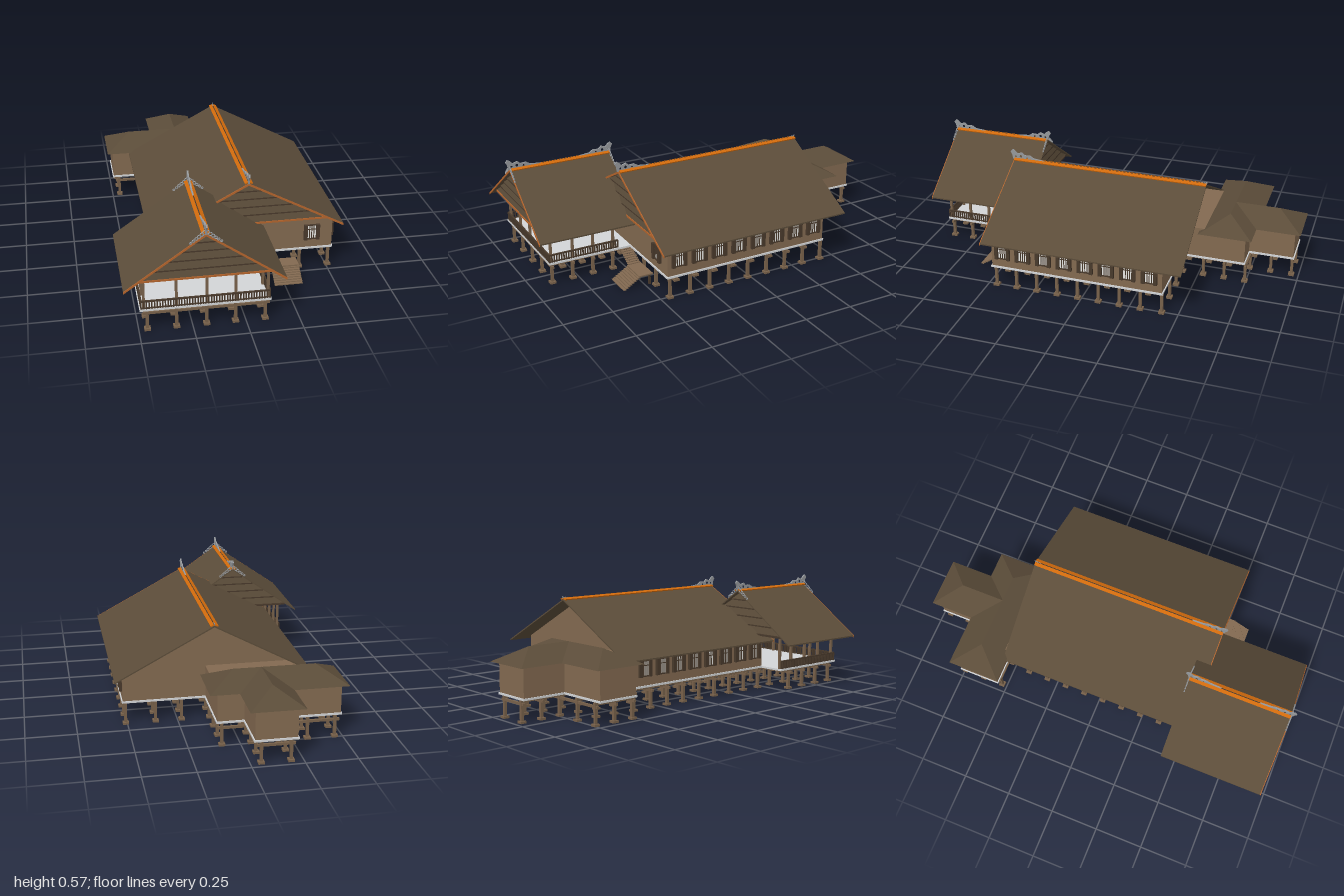
import * as THREE from 'three';

const mat = (name, color, double) => {
  const m = new THREE.MeshStandardMaterial({ color, flatShading: true });
  m.name = name;
  if (double) m.side = THREE.DoubleSide;
  return m;
};

export function createModel() {
  const M = {
    roof: mat('thatch brown', 0x5b4c39, true),
    wall: mat('wall timber', 0x826950),
    pile: mat('post timber', 0x78614a),
    dark: mat('dark timber', 0x48392b),
    floor: mat('pale floor', 0xd2d4d6),
    ridge: mat('orange ridge', 0xd06a0c),
    trim: mat('orange trim', 0xb4642c),
    carving: mat('carved grey', 0x95989b),
    pane: mat('window white', 0xe6e6e2),
  };
  const root = new THREE.Group();
  root.name = 'stiltHouse';
  const group = (name, parent = root) => {
    const g = new THREE.Group();
    g.name = name;
    parent.add(g);
    return g;
  };
  const add = (parent, name, geo, m) => {
    const mesh = new THREE.Mesh(geo, m);
    mesh.name = name;
    parent.add(mesh);
    return mesh;
  };
  // Box given by its limits on each axis
  const box = (parent, name, m, x0, x1, y0, y1, z0, z1) => {
    const g = new THREE.BoxGeometry(x1 - x0, y1 - y0, z1 - z0);
    g.translate((x0 + x1) / 2, (y0 + y1) / 2, (z0 + z1) / 2);
    return add(parent, name, g, m);
  };
  // Polygon in the xy plane, extruded from z0 to z1
  const prism = (parent, name, m, pts, z0, z1) => {
    const s = new THREE.Shape(pts.map(p => new THREE.Vector2(...p)));
    const g = new THREE.ExtrudeGeometry(s, { depth: z1 - z0, bevelEnabled: false });
    g.translate(0, 0, z0);
    return add(parent, name, g, m);
  };

  const EAVE = 0.26, RIDGE = 0.517, BASE = 0.285;

  // Floors
  const floors = group('floors');
  [[-0.495, 0.115, 0.465, 0.91], [-0.355, 0.525, -0.425, 0.475], [-0.355, 0.115, -0.53, -0.42],
    [-0.495, 0.115, -0.745, -0.525], [-0.225, -0.015, -0.975, -0.74]]
    .forEach(([a, b, c, d]) => box(floors, 'floorSlab', M.floor, a, b, 0.11, 0.12, c, d));

  // Stilts on footings, with tie beams below the long western strip
  const stilts = group('stilts');
  const rowZ = k => 0.89 - 0.109 * k;
  const strip = [-0.46, -0.325, -0.185, -0.05, 0.09];
  for (let k = 0; k < 18; k++) {
    const main = k >= 4 && k <= 12, z = rowZ(k);
    const xs = main ? [-0.338, -0.185, -0.05, 0.09, 0.23, 0.36, 0.508] : k > 15 ? [-0.19, -0.05] : strip;
    for (const x of xs) {
      box(stilts, 'stilt', M.pile, x - 0.007, x + 0.007, 0.01, 0.11, z - 0.007, z + 0.007);
      box(stilts, 'footing', M.pile, x - 0.015, x + 0.015, 0, 0.011, z - 0.015, z + 0.015);
    }
    const left = xs[0] - 0.02, right = k > 15 ? -0.03 : 0.11;
    box(stilts, 'crossBeam', M.pile, left, right, 0.084, 0.096, z - 0.006, z + 0.006);
  }
  strip.forEach((x, i) => {
    const ends = i === 0 ? [[0.47, 0.9], [-0.745, -0.53]] : i === 2 || i === 3 ? [[-0.97, 0.9]] : [[-0.745, 0.9]];
    ends.forEach(([a, b]) => box(stilts, 'longBeam', M.pile, x - 0.006, x + 0.006, 0.096, 0.11, a, b));
  });

  // Gabled roof: slab, orange front rake boards and ridge cap
  const chevron = (cx, w, t, up = 0) => [[cx - w, EAVE + up], [cx, RIDGE + up], [cx + w, EAVE + up],
    [cx + w, EAVE + up - t], [cx, RIDGE + up - t], [cx - w, EAVE + up - t]];
  const gableRoof = (name, cx, w, z0, z1) => {
    const g = group(name);
    prism(g, 'roofSlopes', M.roof, chevron(cx, w, 0.007), z0, z1);
    prism(g, 'rakeBoards', M.trim, chevron(cx, w, 0.011), z1, z1 + 0.004);
    for (const s of [-1, 1]) {
      const cap = box(g, 'ridgeCap', M.ridge, -0.009, 0.009, -0.002, 0.004, z0, z1);
      cap.position.set(cx + s * 0.01, RIDGE, 0);
      cap.rotation.z = -s * 0.35;
    }
    box(g, 'ridgeSeam', M.dark, cx - 0.002, cx + 0.002, RIDGE, RIDGE + 0.006, z0, z1);
    return g;
  };
  // Overlapping sloped boards that close a gable; dir is the way it faces
  const gableBoards = (parent, cx, w, z, dir) => {
    const half = y => w * (RIDGE - 0.008 - y) / (RIDGE - EAVE);
    const levels = [0.295, 0.338, 0.382, 0.425, 0.467, 0.505];
    for (let i = 0; i < 5; i++) {
      const y0 = levels[i], y1 = levels[i + 1], a = half(y0), b = half(y1), zb = z - dir * 0.014;
      const p = [[-a, y0, z], [a, y0, z], [b, y1, zb], [-b, y1, zb]].map(([x, y, q]) => [x + cx, y, q]);
      const order = dir > 0 ? [0, 1, 2, 0, 2, 3] : [0, 2, 1, 0, 3, 2];
      const g = new THREE.BufferGeometry();
      g.setAttribute('position', new THREE.Float32BufferAttribute(order.flatMap(k => p[k]), 3));
      g.computeVertexNormals();
      add(parent, 'gableBoard', g, M.roof);
      if (i) box(parent, 'boardGap', M.dark, cx - a, cx + a, y0 - 0.007, y0, Math.min(z, zb), Math.max(z, zb));
    }
    const a = half(0.295);
    box(parent, 'gableBeam', dir > 0 ? M.trim : M.dark, cx - a, cx + a, 0.286, 0.295, z - 0.01, z + 0.004);
  };

  // Main hall
  const hx = 0.083, hw = 0.4825;
  const hallRoof = gableRoof('hallRoof', hx, hw, -0.522, 0.51);
  gableBoards(hallRoof, hx, hw, 0.492, 1);
  const hall = group('hall');
  const roofAt = x => RIDGE - 0.009 - Math.abs(x - hx) / hw * (RIDGE - EAVE);
  prism(hall, 'hallWalls', M.wall, [[-0.35, 0.12], [0.52, 0.12], [0.52, roofAt(0.52)], [hx, RIDGE - 0.009],
    [-0.35, roofAt(-0.35)]], -0.42, 0.47);
  [[-0.32, -0.2], [-0.17, -0.065], [-0.035, 0.095]]
    .forEach(([a, b]) => box(hall, 'transom', M.dark, a, b, 0.264, 0.282, 0.468, 0.474));

  // Windows with open shutters and bars
  const windowUnit = (x, z, turn) => {
    const g = group('window', hall);
    box(g, 'pane', M.pane, -0.023, 0.023, 0.17, 0.24, -0.002, 0.003);
    for (const s of [-1, 1]) {
      box(g, 'shutter', M.dark, s * 0.031 - 0.009, s * 0.031 + 0.009, 0.164, 0.246, 0, 0.014);
      box(g, 'frame', M.dark, -0.023, 0.023, 0.205 + s * 0.038 - 0.003, 0.205 + s * 0.038 + 0.003, 0, 0.007);
    }
    for (const b of [-0.011, 0, 0.011]) box(g, 'bar', M.dark, b - 0.002, b + 0.002, 0.168, 0.242, 0, 0.006);
    box(g, 'crossBar', M.dark, -0.023, 0.023, 0.218, 0.222, 0, 0.006);
    g.position.set(x, 0, z);
    g.rotation.y = turn;
  };
  for (let i = 0; i < 8; i++) {
    const z = 0.41 - 0.1095 * i;
    windowUnit(0.52, z, Math.PI / 2);
    windowUnit(-0.35, z, -Math.PI / 2);
  }
  windowUnit(0.415, 0.47, 0);

  // Open front pavilion
  const px = -0.2, pw = 0.37;
  const pavRoof = gableRoof('pavilionRoof', px, pw, 0.435, 0.97);
  gableBoards(pavRoof, px, pw, 0.95, 1);
  gableBoards(pavRoof, px, pw, 0.455, -1);
  box(pavRoof, 'ceiling', M.dark, -0.515, 0.115, 0.282, 0.288, 0.46, 0.945);
  const pav = group('pavilion');
  const column = (x, z) => box(pav, 'column', M.pile, x - 0.006, x + 0.006, 0.12, BASE, z - 0.006, z + 0.006);
  [-0.475, -0.325, -0.185, -0.05, 0.1].forEach(x => column(x, 0.895));
  for (let k = 1; k < 4; k++) [-0.475, 0.1].forEach(x => column(x, rowZ(k)));
  column(-0.475, 0.475);

  // Railing runs along one axis, turned to suit
  const railing = (x, z, length, turn) => {
    const g = group('railing');
    box(g, 'topRail', M.dark, 0, length, 0.157, 0.164, -0.004, 0.004);
    box(g, 'bottomRail', M.dark, 0, length, 0.122, 0.127, -0.003, 0.003);
    const n = Math.round(length / 0.0125);
    for (let i = 0; i <= n; i++) {
      const u = i / n * length;
      box(g, 'baluster', M.dark, u - 0.003, u + 0.003, 0.12, 0.16, -0.003, 0.003);
    }
    g.position.set(x, 0, z);
    g.rotation.y = turn;
  };
  railing(-0.488, 0.905, 0.596, 0);
  railing(-0.488, 0.905, 0.43, Math.PI / 2);
  railing(0.108, 0.905, 0.365, Math.PI / 2);

  // Stair: lower flight to a landing, then a turn up to the pavilion
  const stair = group('stair');
  box(stair, 'landing', M.wall, 0.2, 0.34, 0.053, 0.06, 0.46, 0.535);
  for (let i = 0; i < 8; i++) {
    const z = 0.62 - i * 0.011, y = 0.004 + i * 0.0068;
    box(stair, 'lowerTread', M.wall, 0.2, 0.34, y - 0.004, y + 0.001, z - 0.014, z);
    const x = 0.205 - i * 0.012, v = 0.064 + i * 0.0064;
    box(stair, 'upperTread', M.wall, x - 0.014, x, v - 0.004, v + 0.001, 0.465, 0.53);
  }
  for (const x of [0.21, 0.33]) box(stair, 'landingPost', M.dark, x - 0.005, x + 0.005, 0, 0.053, 0.47, 0.48);

  // Rear wings with hipped roofs
  const rear = group('rearWings');
  box(rear, 'linkWalls', M.wall, -0.35, 0.11, 0.12, 0.28, -0.54, -0.42);
  box(rear, 'wingWalls', M.wall, -0.49, 0.11, 0.12, 0.272, -0.74, -0.53);
  box(rear, 'smallWingWalls', M.wall, -0.22, -0.02, 0.12, 0.272, -0.97, -0.74);
  const hipRoof = (name, x0, x1, z0, z1, r0, r1) => {
    const e = 0.266, p = [[x0, e, z0], [x1, e, z0], [x1, e, z1], [x0, e, z1], r0, r1];
    // Ridge runs along x when its two ends share z
    const faces = r0[2] === r1[2]
      ? [0, 4, 5, 0, 5, 1, 1, 5, 2, 2, 5, 4, 2, 4, 3, 3, 4, 0]
      : [0, 4, 1, 1, 4, 5, 1, 5, 2, 2, 5, 3, 3, 5, 4, 3, 4, 0];
    const g = new THREE.BufferGeometry();
    g.setAttribute('position', new THREE.Float32BufferAttribute([...faces, 0, 1, 2, 0, 2, 3].flatMap(k => p[k]), 3));
    g.computeVertexNormals();
    add(rear, name, g, M.roof);
  };
  hipRoof('wingRoof', -0.52, 0.15, -0.775, -0.502, [-0.385, 0.34, -0.64], [0.017, 0.34, -0.64]);
  hipRoof('smallWingRoof', -0.25, 0.01, -1, -0.64, [-0.12, 0.341, -0.87], [-0.12, 0.341, -0.64]);

  // Carved ridge finials; dir is the way the crest faces
  const crest = [[0.17, 0], [-0.005, 0], [-0.008, 0.022], [-0.018, 0.04], [-0.006, 0.052], [0.008, 0.043], [0.02, 0.03],
    [0.045, 0.038], [0.06, 0.024], [0.09, 0.026], [0.11, 0.013], [0.17, 0.006]];
  const finial = (x, z, dir, scale = 1) => {
    const s = new THREE.Shape(crest.map(p => new THREE.Vector2(...p)));
    for (const [u, v, r] of [[0.012, 0.015, 0.005], [0.04, 0.018, 0.007], [0.075, 0.012, 0.005]]) {
      s.holes.push(new THREE.Path().absarc(u, v, r, 0, Math.PI * 2, true));
    }
    const g = new THREE.ExtrudeGeometry(s, { depth: 0.008, bevelEnabled: false, curveSegments: 5 });
    g.translate(0, 0, -0.004);
    const f = add(root, 'ridgeFinial', g, M.carving);
    f.scale.setScalar(scale);
    f.position.set(x, RIDGE, z);
    f.rotation.y = dir * Math.PI / 2;
  };
  finial(px, 0.975, 1);
  finial(px, 0.435, -1);
  finial(hx, 0.515, 1);
  finial(hx, -0.522, -1, 0.3);

  // Pierced scrollwork climbing the pavilion rakes
  const scroll = group('rakeScrollwork');
  for (const z of [0.972, 0.437]) {
    for (const s of [-1, 1]) {
      for (let i = 0; i < 6; i++) {
        const d = 0.006 + i * 0.0125, r = 0.0095 - i * 0.001;
        const ring = add(scroll, 'scrollRing', new THREE.TorusGeometry(r, 0.0028, 4, 8), M.carving);
        ring.position.set(px + s * d, RIDGE - d * 0.69 + r + 0.002, z);
      }
    }
  }
  return root;
}
